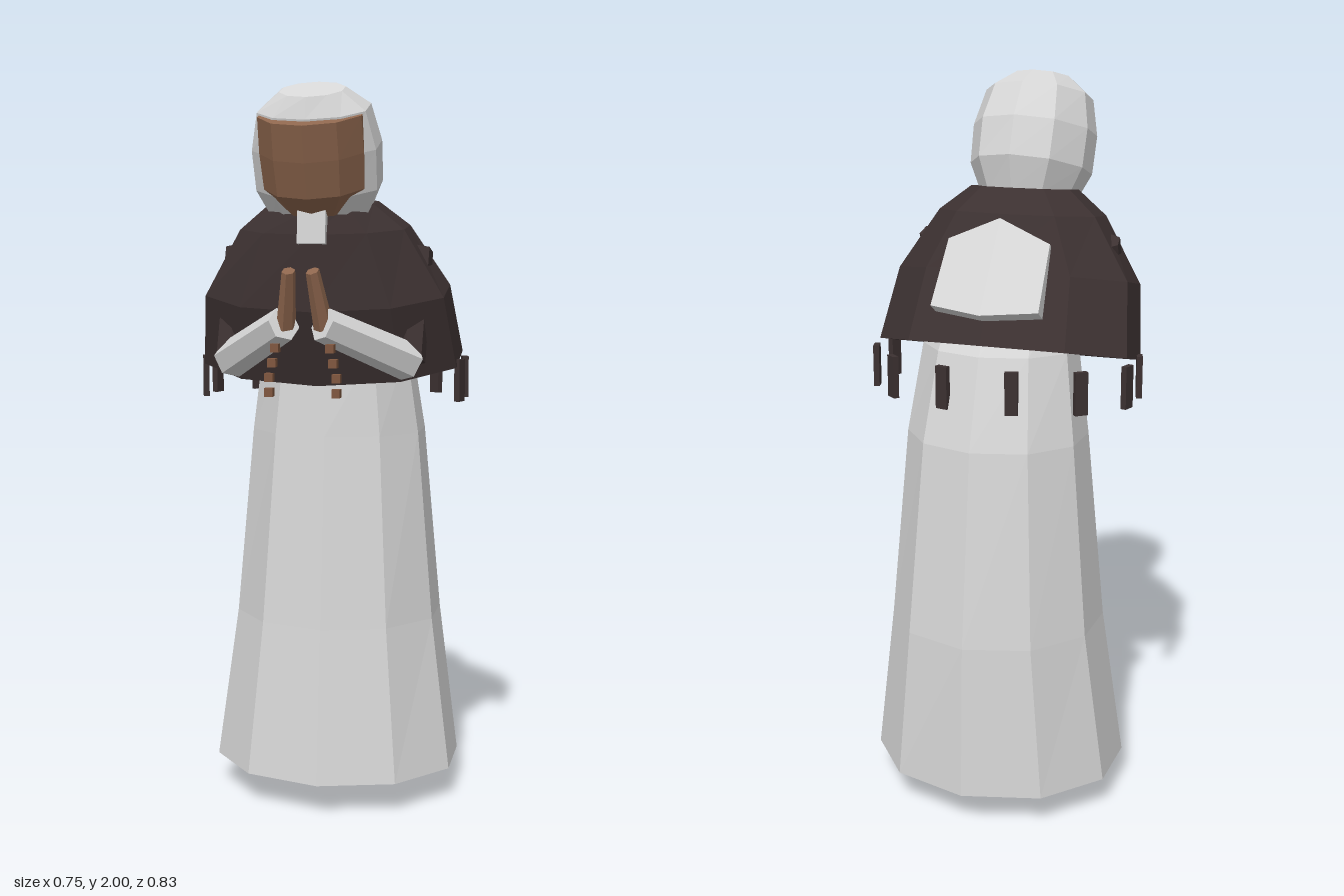
import * as THREE from 'three';

const mat = (name, color) => {
  const m = new THREE.MeshStandardMaterial({ color, flatShading: true });
  m.name = name;
  return m;
};

// Closed loft through ten-sided rings listed bottom to top.
// Ring: [y, z, x radius, front radius, back radius, y rise at the front]
function loft(rings, n = 10) {
  const point = ([y, z, rx, rf, rb, rise = 0], i) => {
    const a = (i / n) * Math.PI * 2, c = Math.cos(a);
    return [rx * Math.sin(a), y + rise * c, z + c * (c > 0 ? rf : rb)];
  };
  const v = [];
  const tri = (...pts) => pts.forEach(p => v.push(...p));
  const last = rings[rings.length - 1];
  for (let i = 0; i < n; i++) {
    for (let r = 0; r < rings.length - 1; r++) {
      const a = point(rings[r], i), b = point(rings[r], i + 1);
      const c = point(rings[r + 1], i + 1), d = point(rings[r + 1], i);
      tri(a, b, c);
      tri(a, c, d);
    }
    tri([0, rings[0][0], rings[0][1]], point(rings[0], i + 1), point(rings[0], i));
    tri([0, last[0], last[1]], point(last, i), point(last, i + 1));
  }
  const g = new THREE.BufferGeometry();
  g.setAttribute('position', new THREE.Float32BufferAttribute(v, 3));
  g.computeVertexNormals();
  return g;
}

export function createModel() {
  const model = new THREE.Group();
  const white = mat('white cloth', 0xd6d6d6);
  const dark = mat('dark cloth', 0x3c3131);
  const skin = mat('skin', 0x8f674e);
  const wood = mat('bead wood', 0x80573f);

  const add = (name, geo, material, pos = [0, 0, 0], parent = model) => {
    const m = new THREE.Mesh(geo, material);
    m.name = name;
    m.position.set(...pos);
    parent.add(m);
    return m;
  };
  // Tapered limb between two points
  const limb = (name, from, to, r0, r1, material, sides = 6) => {
    const a = new THREE.Vector3(...from), b = new THREE.Vector3(...to);
    const d = b.clone().sub(a);
    const m = add(name, new THREE.CylinderGeometry(r1, r0, d.length(), sides), material);
    m.position.copy(a.add(b).multiplyScalar(0.5));
    m.quaternion.setFromUnitVectors(new THREE.Vector3(0, 1, 0), d.normalize());
    return m;
  };

  // Long robe, bending forward toward the top
  add('robe', loft([
    [0.09, -0.10, 0.357, 0.312, 0.315],
    [0.52, -0.118, 0.298, 0.28, 0.28],
    [1.05, -0.114, 0.25, 0.219, 0.219],
    [1.29, -0.09, 0.215, 0.17, 0.17],
    [1.45, -0.02, 0.19, 0.13, 0.13],
  ]), white);

  // Shoulder cape with a hem that dips at the front
  add('cape', loft([
    [1.26, -0.025, 0.373, 0.225, 0.23, -0.06],
    [1.45, 0.055, 0.345, 0.215, 0.215, -0.05],
    [1.62, 0.085, 0.235, 0.175, 0.175, -0.02],
    [1.685, 0.10, 0.15, 0.14, 0.12, -0.015],
  ]), dark);

  // White collar under the chin
  const collar = add('collar', new THREE.BoxGeometry(0.075, 0.09, 0.05), white, [0, 1.62, 0.243]);
  collar.rotation.x = -0.1;

  // Folded back panel with a raised centre ridge
  const panelGeo = new THREE.BoxGeometry(0.3, 1, 1, 2, 1, 1);
  const p = panelGeo.attributes.position;
  for (let i = 0; i < p.count; i++) {
    const x = p.getX(i), centre = x === 0, top = p.getY(i) > 0, inner = p.getZ(i) > 0;
    const y = top ? (centre ? 1.63 : 1.57) : (centre ? 1.4 : 1.41);
    const z = top ? (centre ? -0.095 : -0.105) : (centre ? -0.255 : -0.22);
    p.setXYZ(i, x * (top ? 0.95 : 1), y - (inner ? 0.03 : 0), z + (inner ? 0.045 : 0));
  }
  panelGeo.computeVertexNormals();
  add('backPanel', panelGeo, white);

  // Bowed head: veil around the back, face set into its front
  const head = new THREE.Group();
  head.name = 'head';
  head.position.set(0, 1.97, 0.25);
  head.rotation.x = 0.315;
  model.add(head);
  add('veil', loft([
    [-0.342, 0, 0.13, 0.075, 0.162],
    [-0.257, 0, 0.17, 0.11, 0.205],
    [-0.15, 0, 0.173, 0.115, 0.2],
    [-0.05, 0, 0.15, 0.115, 0.16],
    [0, 0, 0.087, 0.085, 0.085],
  ]), white, [0, 0, 0], head);
  add('face', loft([
    [-0.31, 0.02, 0.09, 0.08, 0.05],
    [-0.245, 0.02, 0.14, 0.135, 0.06],
    [-0.15, 0.02, 0.145, 0.139, 0.06],
    [-0.055, 0.02, 0.143, 0.136, 0.06],
  ]), skin, [0, 0, 0], head);

  for (const s of [1, -1]) {
    const side = s > 0 ? 'left' : 'right';

    // Arms folded forward in prayer
    limb(side + 'UpperArm', [s * 0.25, 1.56, 0.05], [s * 0.243, 1.27, 0.165], 0.04, 0.045, dark);
    limb(side + 'Sleeve', [s * 0.245, 1.265, 0.165], [s * 0.05, 1.375, 0.365], 0.052, 0.045, white);
    const hand = add(side + 'Hand', new THREE.CylinderGeometry(0.017, 0.025, 0.15, 6), skin,
      [s * 0.04, 1.44, 0.37]);
    hand.scale.z = 1.6;
    hand.rotation.set(0.33, 0, s * 0.12);

    // Hanging beads
    for (let i = 0; i < 4; i++) {
      add(side + 'Bead' + (i + 1), new THREE.BoxGeometry(0.022, 0.022, 0.022), wood,
        [s * (0.088 - Math.max(0, i - 1) * 0.008), 1.2 + i * 0.038, 0.372]);
    }

    // Fringe tabs around the cape hem: x, z, turn
    [[0.36, 0.013, 1.25], [0.36, -0.108, 1.85], [0.265, -0.213, 2.45], [0.096, -0.274, 2.9]]
      .forEach(([x, z, turn], i) => {
        const tab = add(side + 'FringeTab' + (i + 1), new THREE.BoxGeometry(0.035, 0.115, 0.016), dark,
          [s * x, 1.205, z]);
        tab.rotation.y = s * turn;
      });

    // Feet under the hem
    limb(side + 'Foot', [s * 0.11, 0.004, -0.125], [s * 0.11, 0.14, -0.115], 0.051, 0.051, dark, 8);
  }
  return model;
}
